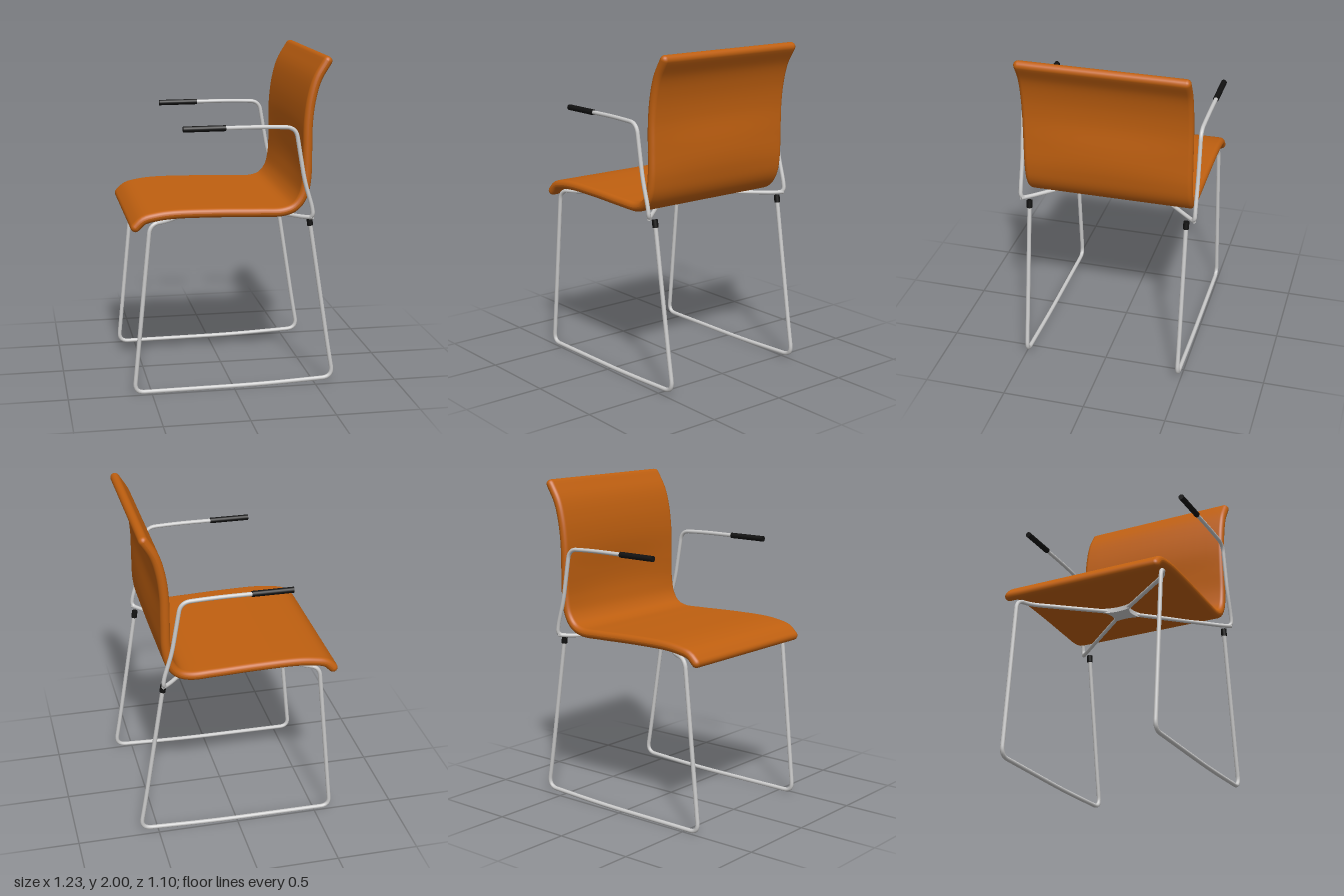
import * as THREE from 'three';

const V = (x, y, z) => new THREE.Vector3(x, y, z);
const mat = (color, extra = {}) => new THREE.MeshStandardMaterial({ color, ...extra });

// Straight runs joined by rounded corners; each point is [x, y, z, bend]
function roundedPath(points) {
  const path = new THREE.CurvePath();
  const pts = points.map(p => V(p[0], p[1], p[2]));
  let from = pts[0];
  for (let i = 1; i < pts.length - 1; i++) {
    const p = pts[i], bend = points[i][3];
    const a = p.clone().add(pts[i - 1].clone().sub(p).setLength(bend));
    const b = p.clone().add(pts[i + 1].clone().sub(p).setLength(bend));
    path.add(new THREE.LineCurve3(from, a));
    path.add(new THREE.QuadraticBezierCurve3(a, p, b));
    from = b;
  }
  path.add(new THREE.LineCurve3(from, pts[pts.length - 1]));
  return path;
}

function tube(points, segments, radius, material, name) {
  const mesh = new THREE.Mesh(new THREE.TubeGeometry(roundedPath(points), segments, radius, 10), material);
  mesh.name = name;
  return mesh;
}

// Closed cylinder between two points
function rod(a, b, radius, material, name) {
  const mesh = new THREE.Mesh(new THREE.CylinderGeometry(radius, radius, a.distanceTo(b), 16), material);
  mesh.position.copy(a).add(b).multiplyScalar(0.5);
  mesh.quaternion.setFromUnitVectors(V(0, 1, 0), b.clone().sub(a).normalize());
  mesh.name = name;
  return mesh;
}

// Seat and back in one sheet, rounded on every edge
function shellGeometry() {
  const R = 0.028, HALF = 0.51 - R, N = 90, CAP = 8, ARC = 6;
  const line = new THREE.CatmullRomCurve3([
    [-0.585, 1.03], [-0.54, 1.07], [-0.46, 1.09], [-0.36, 1.1], [-0.1, 1.099], [0.15, 1.091],
    [0.29, 1.091], [0.36, 1.117], [0.407, 1.18], [0.428, 1.28], [0.431, 1.45], [0.434, 1.62],
    [0.452, 1.76], [0.485, 1.873], [0.543, 1.972],
  ].map(p => V(p[0], p[1], 0)), false, 'centripetal');

  // Outline as [centre, outward direction]: upper side, tip, under side, tip
  const loop = [];
  const angleAt = t => { const d = line.getTangentAt(t); return Math.atan2(d.y, d.x); };
  const add = (t, angle) => loop.push([line.getPointAt(t), Math.cos(angle), Math.sin(angle)]);
  for (let i = 0; i <= N; i++) add(i / N, angleAt(i / N) + Math.PI / 2);
  for (let i = 1; i < CAP; i++) add(1, angleAt(1) + Math.PI / 2 - Math.PI * i / CAP);
  for (let i = N; i >= 0; i--) add(i / N, angleAt(i / N) - Math.PI / 2);
  for (let i = 1; i < CAP; i++) add(0, angleAt(0) - Math.PI / 2 - Math.PI * i / CAP);

  // Cross-sections over the width, shrinking towards both sides
  const sections = [];
  for (let i = 0; i <= ARC; i++) {
    const a = (i / ARC) * Math.PI / 2;
    sections.push([-HALF - R * Math.cos(a), R * Math.sin(a)]);
  }
  for (let i = 1; i < 12; i++) sections.push([-HALF + 2 * HALF * i / 12, R]);
  for (let i = ARC; i >= 0; i--) {
    const a = (i / ARC) * Math.PI / 2;
    sections.push([HALF + R * Math.cos(a), R * Math.sin(a)]);
  }

  const pos = [], index = [], n = loop.length;
  sections.forEach(([z, r], j) => {
    loop.forEach(([c, nx, ny], i) => {
      // Lower back is slightly hollowed
      const hollow = 0.014 * (1 - (z / 0.51) ** 2) * Math.exp(-(((c.y - 1.4) / 0.16) ** 2));
      pos.push(c.x + nx * r + hollow, c.y + ny * r, z);
      if (j === sections.length - 1) return;
      const k = (i + 1) % n, a = j * n + i, b = a + n, d = j * n + k, e = d + n;
      index.push(a, b, d, d, b, e);
    });
  });
  const geo = new THREE.BufferGeometry();
  geo.setAttribute('position', new THREE.Float32BufferAttribute(pos, 3));
  geo.setIndex(index);
  geo.computeVertexNormals();
  return geo;
}

// Four-pointed plate with hollow sides where the tubes cross
function plateGeometry() {
  const s = new THREE.Shape(), w = 0.073, h = 0.085, m = 0.042;
  s.moveTo(-w, -h);
  s.quadraticCurveTo(0, -m, w, -h);
  s.quadraticCurveTo(m, 0, w, h);
  s.quadraticCurveTo(0, m, -w, h);
  s.quadraticCurveTo(-m, 0, -w, -h);
  return new THREE.ExtrudeGeometry(s, { depth: 0.03, bevelEnabled: false, curveSegments: 10 }).rotateX(-Math.PI / 2);
}

export function createModel() {
  const model = new THREE.Group();
  model.name = 'chair';
  const orange = mat(0xc06010, { side: THREE.DoubleSide });
  const steel = mat(0xcccccc, { side: THREE.DoubleSide });
  const black = mat(0x111111);

  const shell = new THREE.Mesh(shellGeometry(), orange);
  shell.name = 'seatShell';
  model.add(shell);

  const plate = new THREE.Mesh(plateGeometry(), steel);
  plate.name = 'centrePlate';
  plate.position.set(-0.037, 1.038, 0);
  model.add(plate);

  for (const s of [1, -1]) {
    const side = new THREE.Group();
    side.name = s > 0 ? 'leftSideFrame' : 'rightSideFrame';

    // Sled leg: from the plate to the front corner, down, along the floor and up
    side.add(tube([
      [-0.037, 1.053, 0],
      [-0.40, 1.053, s * 0.46, 0.07],
      [-0.50, 1.045, s * 0.482, 0.06],
      [-0.604, 0.016, s * 0.482, 0.06],
      [0.15, 0.02, s * 0.482, 0.2],
      [0.612, 0.04, s * 0.482, 0.07],
      [0.575, 0.25, s * 0.482, 0.1],
      [0.453, 1.02, s * 0.482],
    ], 260, 0.013, steel, 'sledLeg'));
    side.add(rod(V(0.456, 1.0, s * 0.482), V(0.449, 1.045, s * 0.482), 0.018, black, 'legCap'));

    // Arm tube: from the plate to the rear corner, up and forward
    side.add(tube([
      [-0.037, 1.053, 0],
      [0.425, 1.053, s * 0.5, 0.05],
      [0.462, 1.06, s * 0.534, 0.035],
      [0.452, 1.125, s * 0.534, 0.03],
      [0.405, 1.28, s * 0.534, 0.06],
      [0.35, 1.598, s * 0.534, 0.06],
      [0.15, 1.606, s * 0.534, 0.1],
      [-0.28, 1.604, s * 0.534],
    ], 220, 0.0125, steel, 'armTube'));
    side.add(rod(V(-0.31, 1.604, s * 0.534), V(-0.063, 1.605, s * 0.534), 0.0175, black, 'armGrip'));
    model.add(side);
  }
  return model;
}
